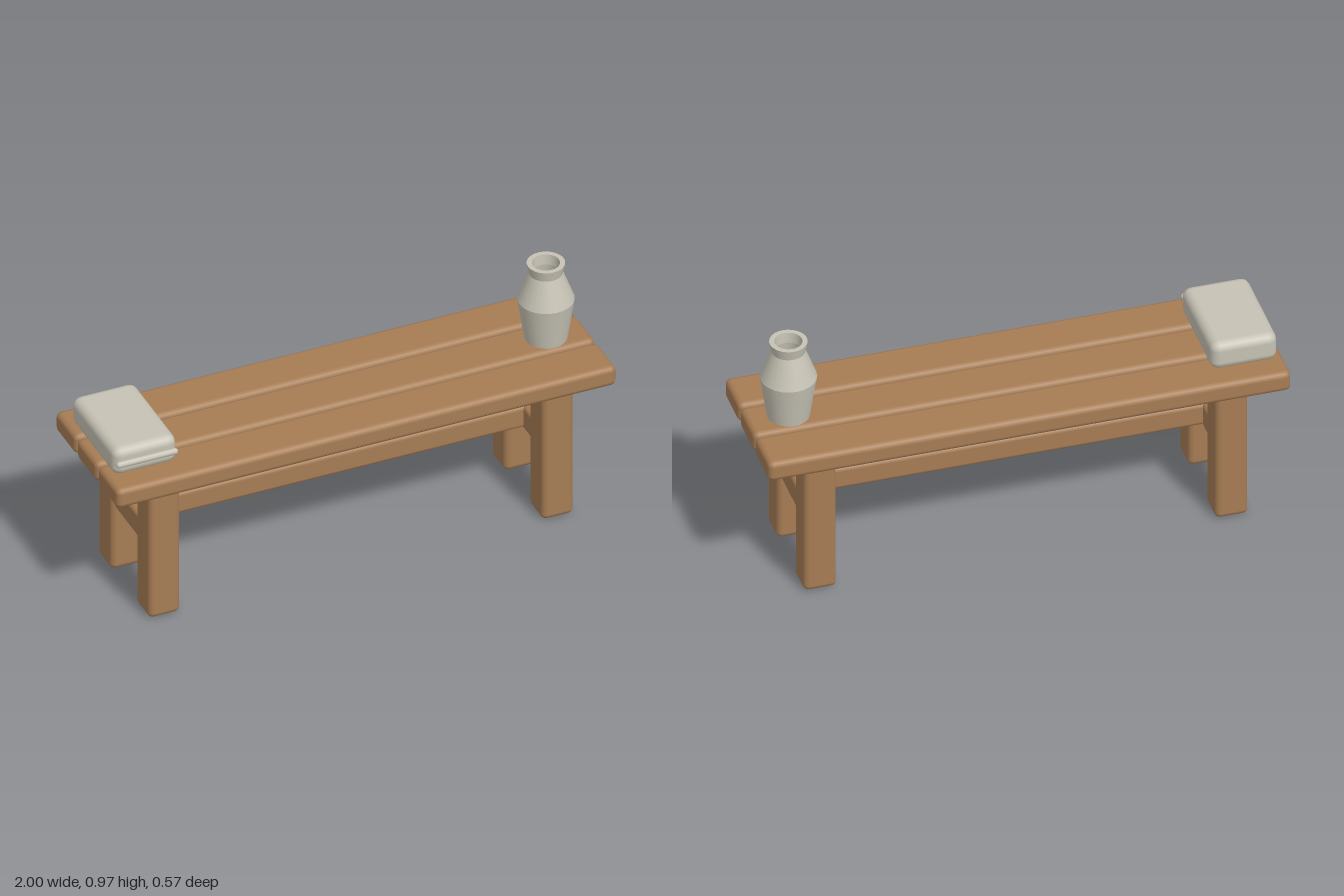
import * as THREE from 'three';
import { RoundedBoxGeometry } from 'three/addons/geometries/RoundedBoxGeometry.js';

export function createModel() {
  const model = new THREE.Group();
  model.name = 'bench';

  const wood = new THREE.MeshStandardMaterial({ color: 0xa67c54 });
  wood.name = 'wood';
  const stone = new THREE.MeshStandardMaterial({ color: 0xc6c2b4 });
  stone.name = 'pale clay';

  // Soft-edged block given by its limits on each axis
  function block(name, material, [x0, x1], [y0, y1], [z0, z1], radius) {
    const geometry = new RoundedBoxGeometry(x1 - x0, y1 - y0, z1 - z0, 2, radius);
    const mesh = new THREE.Mesh(geometry, material);
    mesh.name = name;
    mesh.position.set((x0 + x1) / 2, (y0 + y1) / 2, (z0 + z1) / 2);
    model.add(mesh);
    return mesh;
  }

  // Seat: three planks with narrow gaps
  for (const z of [-0.193, 0, 0.193]) {
    block('seatPlank', wood, [-1, 1], [0.56, 0.644], [z - 0.092, z + 0.092], 0.022);
  }

  // Legs and the cross rail joining each pair
  for (const side of [-1, 1]) {
    const x = side * 0.787;
    for (const z of [-0.172, 0.172]) {
      block('leg', wood, [x - 0.063, x + 0.063], [0, 0.57], [z - 0.064, z + 0.064], 0.022);
    }
    block('crossRail', wood, [x - 0.052, x + 0.052], [0.278, 0.384], [-0.118, 0.118], 0.018);
  }

  // Long stretcher under the seat
  block('stretcher', wood, [-0.76, 0.76], [0.285, 0.382], [-0.035, 0.035], 0.018);

  // Folded cloth with a rolled edge at the front
  block('foldedCloth', stone, [-0.975, -0.72], [0.643, 0.76], [-0.2, 0.2], 0.034);
  const roll = new THREE.Mesh(new THREE.CapsuleGeometry(0.013, 0.222, 4, 10), stone);
  roll.name = 'clothFold';
  roll.rotation.z = Math.PI / 2;
  roll.position.set(-0.847, 0.702, 0.206);
  model.add(roll);

  // Hollow vase
  const profile = [
    [0, 0], [0.08, 0], [0.106, 0.173], [0.063, 0.288], [0.071, 0.33],
    [0.052, 0.33], [0.048, 0.288], [0.06, 0.2], [0, 0.19],
  ];
  // Each profile span is its own band so that its edges stay crisp
  const vase = new THREE.Group();
  vase.name = 'vase';
  vase.position.set(0.84, 0.643, 0);
  for (let i = 0; i < profile.length - 1; i++) {
    const points = [profile[i], profile[i + 1]].map(([r, y]) => new THREE.Vector2(r, y));
    const band = new THREE.Mesh(new THREE.LatheGeometry(points, 24), stone);
    band.name = 'vaseBand';
    vase.add(band);
  }
  model.add(vase);

  return model;
}
